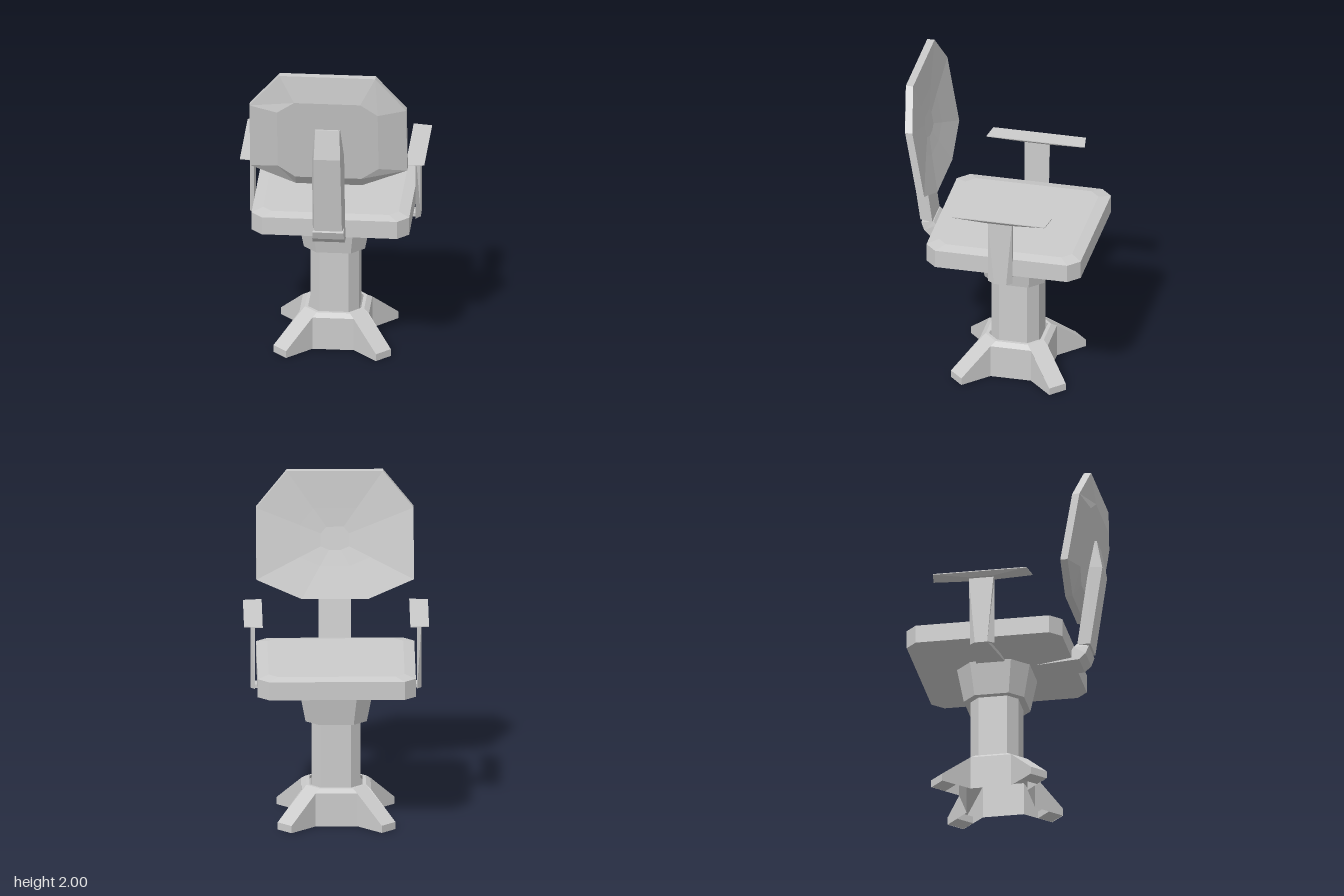
import * as THREE from 'three';

const grey = new THREE.MeshStandardMaterial({ color: 0xcccccc, flatShading: true });
const greyOpen = new THREE.MeshStandardMaterial({ color: 0xcccccc, flatShading: true, side: THREE.DoubleSide });

// Skin a list of rings (equal counts of [x, y, z]); closed lofts are turned outward by their volume
function loft(name, rings, capped = true) {
  const tris = [];
  const tri = (a, b, c) => tris.push([a, b, c].map(p => new THREE.Vector3(...p)));
  const n = rings[0].length;
  for (let r = 0; r + 1 < rings.length; r++) {
    for (let i = 0; i < n; i++) {
      const j = (i + 1) % n, lo = rings[r], hi = rings[r + 1];
      tri(lo[i], lo[j], hi[j]);
      tri(lo[i], hi[j], hi[i]);
    }
  }
  if (capped) {
    const first = rings[0], last = rings[rings.length - 1];
    for (let i = 1; i + 1 < n; i++) {
      tri(first[0], first[i + 1], first[i]);
      tri(last[0], last[i], last[i + 1]);
    }
  }
  const solid = tris.filter(([a, b, c]) => b.clone().sub(a).cross(c.clone().sub(a)).length() > 1e-7);
  const volume = solid.reduce((s, [a, b, c]) => s + a.dot(b.clone().cross(c)), 0);
  if (volume < 0) solid.forEach(t => t.reverse());
  const geo = new THREE.BufferGeometry().setFromPoints(solid.flat());
  geo.computeVertexNormals();
  const mesh = new THREE.Mesh(geo, capped ? grey : greyOpen);
  mesh.name = name;
  return mesh;
}

// Rectangle with cut corners: half sizes w, d and corner cut c, centred on z = cz
function cutRect(w, d, c, y, cz = 0) {
  return [[w - c, d], [w, d - c], [w, c - d], [w - c, -d], [c - w, -d], [-w, c - d], [-w, d - c], [c - w, d]]
    .map(([x, z]) => [x, y, z + cz]);
}

// Upright rectangle ring across x, used for bars that follow a side profile
const rect = (w, [z1, y1], w2, [z2, y2]) => [[-w, y1, z1], [w, y1, z1], [w2, y2, z2], [-w2, y2, z2]];

function makeBase() {
  const group = new THREE.Group();
  group.name = 'pedestal';

  // Four-legged foot: repeat one diagonal leg's outline around the hub
  const ring = (pts) => {
    const out = [];
    for (let k = 0; k < 4; k++) {
      const c = [1, 0, -1, 0][k], s = [0, 1, 0, -1][k];
      pts.forEach(([x, y, z]) => out.push([x * c + z * s, y, z * c - x * s]));
    }
    return out;
  };
  const leg = (valleyY, footY) => ring([
    [0.125, valleyY, 0.21], [0.272, footY, 0.355], [0.355, footY, 0.272], [0.21, valleyY, 0.125]]);
  const rim = (w, f) => ring([[f, 0.23, w], [f, 0.23, w], [w, 0.23, f], [w, 0.23, f]]);
  group.add(loft('legBase', [leg(0, 0), leg(0.207, 0.045), rim(0.18, 0.1), rim(0.16, 0.095)], false));

  // Solid pads under the leg tips
  for (let k = 0; k < 4; k++) {
    const a = Math.PI / 4 + k * Math.PI / 2;
    const pad = new THREE.Mesh(new THREE.BoxGeometry(0.115, 0.044, 0.1), grey);
    pad.name = 'footPad';
    pad.position.set(Math.sin(a) * 0.39, 0.022, Math.cos(a) * 0.39);
    pad.rotation.y = a;
    group.add(pad);
  }

  group.add(loft('column', [cutRect(0.146, 0.146, 0.058, 0.2), cutRect(0.146, 0.146, 0.058, 0.65)]));
  group.add(loft('collar', [cutRect(0.185, 0.185, 0.08, 0.63), cutRect(0.224, 0.224, 0.098, 0.84)]));
  group.position.z = -0.09;
  return group;
}

function makeSeat() {
  return loft('seat', [
    cutRect(0.2, 0.2, 0.08, 0.832, -0.09),
    cutRect(0.477, 0.477, 0.068, 0.872, -0.092),
    cutRect(0.477, 0.477, 0.068, 0.985, -0.092),
    cutRect(0.41, 0.412, 0.055, 1.0, -0.092),
  ]);
}

function makeBackrest() {
  // Leaning cut-corner panel, dished in front and raised behind
  const outline = [[0.29, 2.0], [0.475, 1.78], [0.475, 1.35], [0.2, 1.233]];
  const inset = [[0.2, 1.83], [0.305, 1.757], [0.305, 1.375], [0.2, 1.3]];
  const panel = (half, depth) => [...half, ...half.map(([x, y]) => [-x, y]).reverse()]
    .map(([x, y]) => [x, y, 0.365 + (y - 1.235) * 0.17 + depth]);
  const scaled = (s) => outline.map(([x, y]) => [x * s, 1.58 + (y - 1.58) * s]);
  return loft('backrest', [
    panel(scaled(0.18), 0.038), panel(scaled(0.45), 0.027),
    panel(outline, 0), panel(outline, 0.045), panel(inset, 0.088),
  ]);
}

function makeBackSupport() {
  const group = new THREE.Group();
  group.name = 'backSupport';
  // Upright bar with a narrower rear face
  group.add(loft('supportBar', [
    rect(0.098, [0.42, 0.96], 0.085, [0.497, 0.96]),
    rect(0.098, [0.49, 1.465], 0.08, [0.57, 1.465]),
    rect(0.08, [0.515, 1.645], 0.073, [0.535, 1.645]),
  ]));
  // Bent bracket running under the seat
  group.add(loft('supportBracket', [
    rect(0.093, [0.415, 0.962], 0.093, [0.49, 0.945]),
    rect(0.097, [0.395, 0.94], 0.097, [0.47, 0.895]),
    rect(0.097, [0.375, 0.9], 0.097, [0.43, 0.858]),
    rect(0.097, [0.1, 0.86], 0.097, [0.1, 0.835]),
  ]));
  return group;
}

function makeArm(side) {
  const group = new THREE.Group();
  group.name = side > 0 ? 'leftArmrest' : 'rightArmrest';
  const quad = (x1, x2, y, a, b, c, d) =>
    [[x1, y, a], [x2, y, c], [x2, y, d], [x1, y, b]].map(([x, h, z]) => [x * side, h, z]);
  // Pad: thin wedge, slightly shorter on its outer edge
  group.add(loft('armPad', [
    quad(0.475, 0.535, 1.252, -0.17, -0.015, -0.17, -0.015),
    quad(0.445, 0.558, 1.276, -0.398, 0.21, -0.38, 0.192),
    quad(0.445, 0.558, 1.281, -0.398, 0.21, -0.38, 0.192),
  ]));
  // Post: outer face tapers toward the bottom
  group.add(loft('armPost', [
    quad(0.489, 0.516, 0.825, -0.165, -0.015, -0.132, -0.056),
    quad(0.489, 0.516, 1.258, -0.17, -0.015, -0.168, -0.017),
  ]));
  // Bracket from the post to the underside of the seat
  group.add(loft('armBracket', [
    quad(0.15, 0.516, 0.824, -0.19, 0.01, -0.132, -0.056),
    quad(0.15, 0.516, 0.846, -0.19, 0.01, -0.132, -0.056),
  ]));
  return group;
}

export function createModel() {
  const chair = new THREE.Group();
  chair.name = 'swivelChair';
  chair.add(makeBase(), makeSeat(), makeBackrest(), makeBackSupport(), makeArm(1), makeArm(-1));
  return chair;
}
